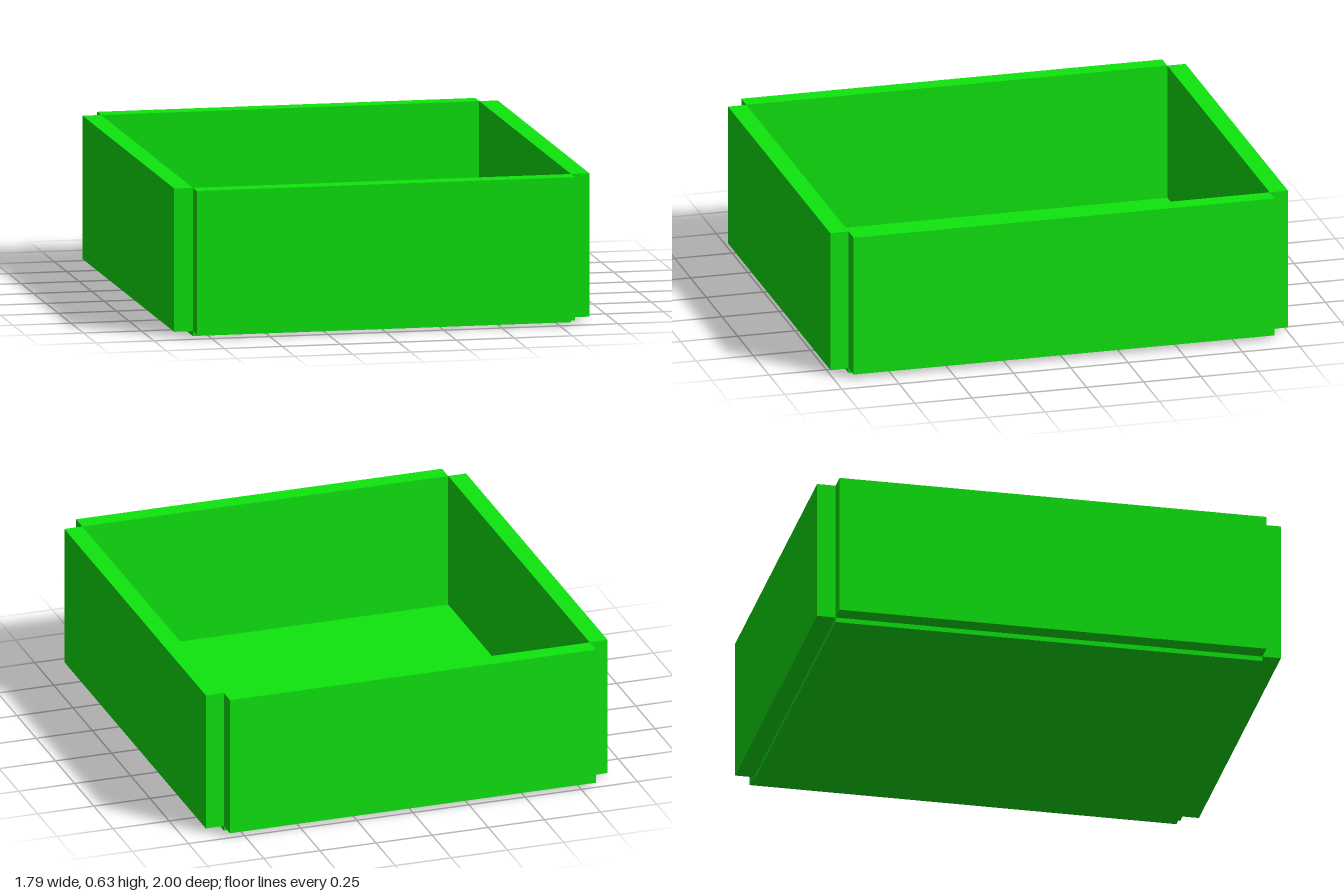
import * as THREE from 'three';

export function createModel() {
  const group = new THREE.Group();
  group.name = 'openTray';
  const material = new THREE.MeshStandardMaterial({ color: 0x0fe60f });

  const halfX = 0.815, halfZ = 0.92; // inside of the tray
  const wall = 0.08, floorThickness = 0.042;
  const wallBottom = floorThickness / 2, wallTop = 0.634;
  const wallHeight = wallTop - wallBottom;
  const wallY = (wallTop + wallBottom) / 2;

  const addBox = (name, w, h, d, x, y, z) => {
    const mesh = new THREE.Mesh(new THREE.BoxGeometry(w, h, d), material);
    mesh.name = name;
    mesh.position.set(x, y, z);
    group.add(mesh);
  };

  // Floor panel, standing half its thickness below the walls
  addBox('floor', halfX * 2, floorThickness, halfZ * 2, 0, floorThickness / 2, 0);

  // Four walls around the floor, leaving the corners notched
  for (const s of [1, -1]) {
    addBox(s > 0 ? 'leftWall' : 'rightWall', wall, wallHeight, halfZ * 2, s * (halfX + wall / 2), wallY, 0);
    addBox(s > 0 ? 'frontWall' : 'backWall', halfX * 2, wallHeight, wall, 0, wallY, s * (halfZ + wall / 2));
  }
  return group;
}
